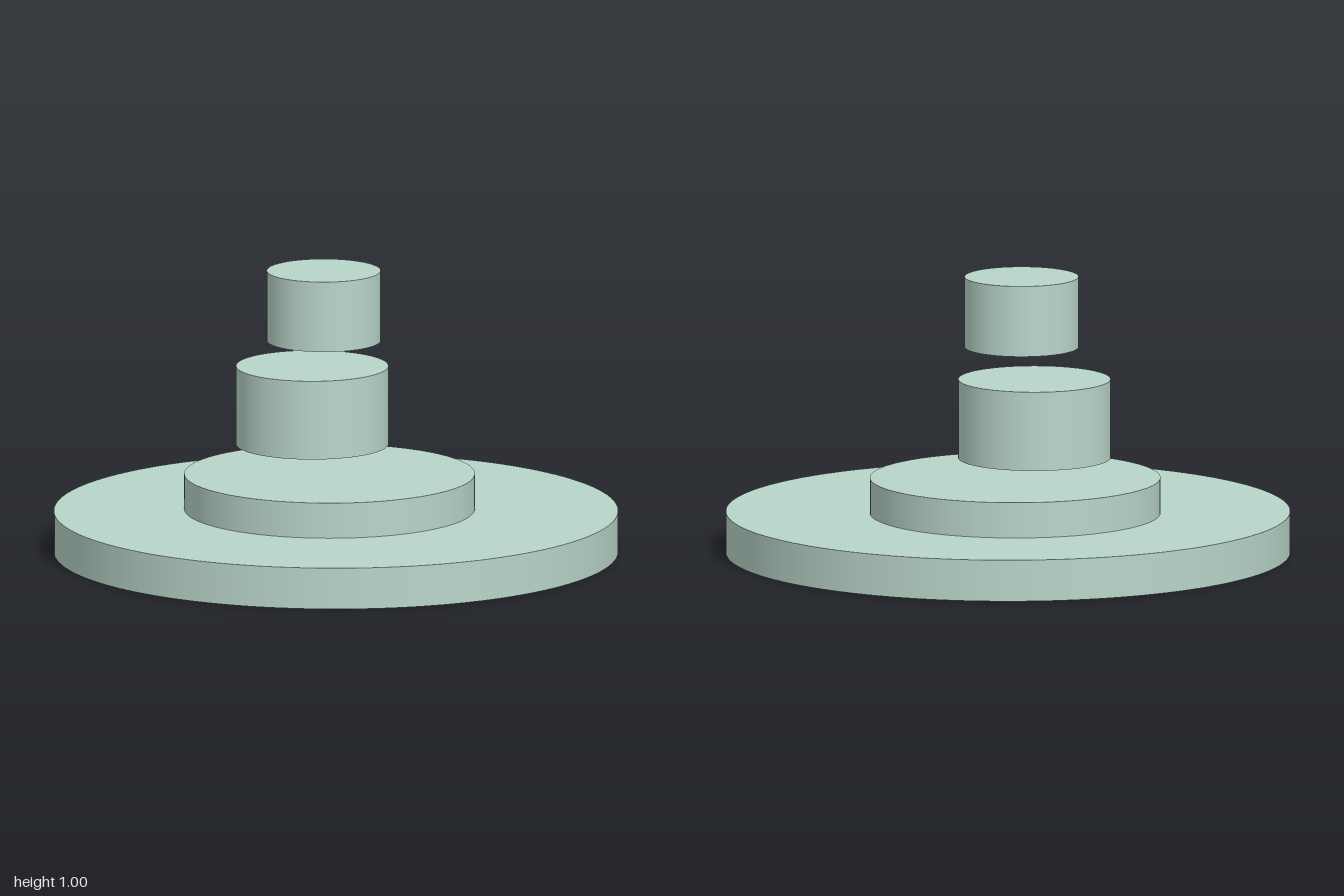
import * as THREE from 'three';

export function createModel() {
  const model = new THREE.Group();
  const material = new THREE.MeshStandardMaterial({ color: 0xb8d4c8 });

  // Upright solid disc from its radius, bottom and top heights, and z centre
  function addDisc(name, radius, bottom, top, z) {
    const geometry = new THREE.CylinderGeometry(radius, radius, top - bottom, 128);
    const disc = new THREE.Mesh(geometry, material);
    disc.name = name;
    disc.position.set(0, (bottom + top) / 2, z);
    model.add(disc);
  }

  // Wide base with a raised step on it
  addDisc('base', 1, 0, 0.148, 0);
  addDisc('step', 0.515, 0.148, 0.275, -0.042);

  // Two separate drums floating above, set towards the back
  addDisc('lowerDrum', 0.27, 0.362, 0.645, -0.155);
  addDisc('upperDrum', 0.202, 0.75, 1.003, -0.08);

  return model;
}
